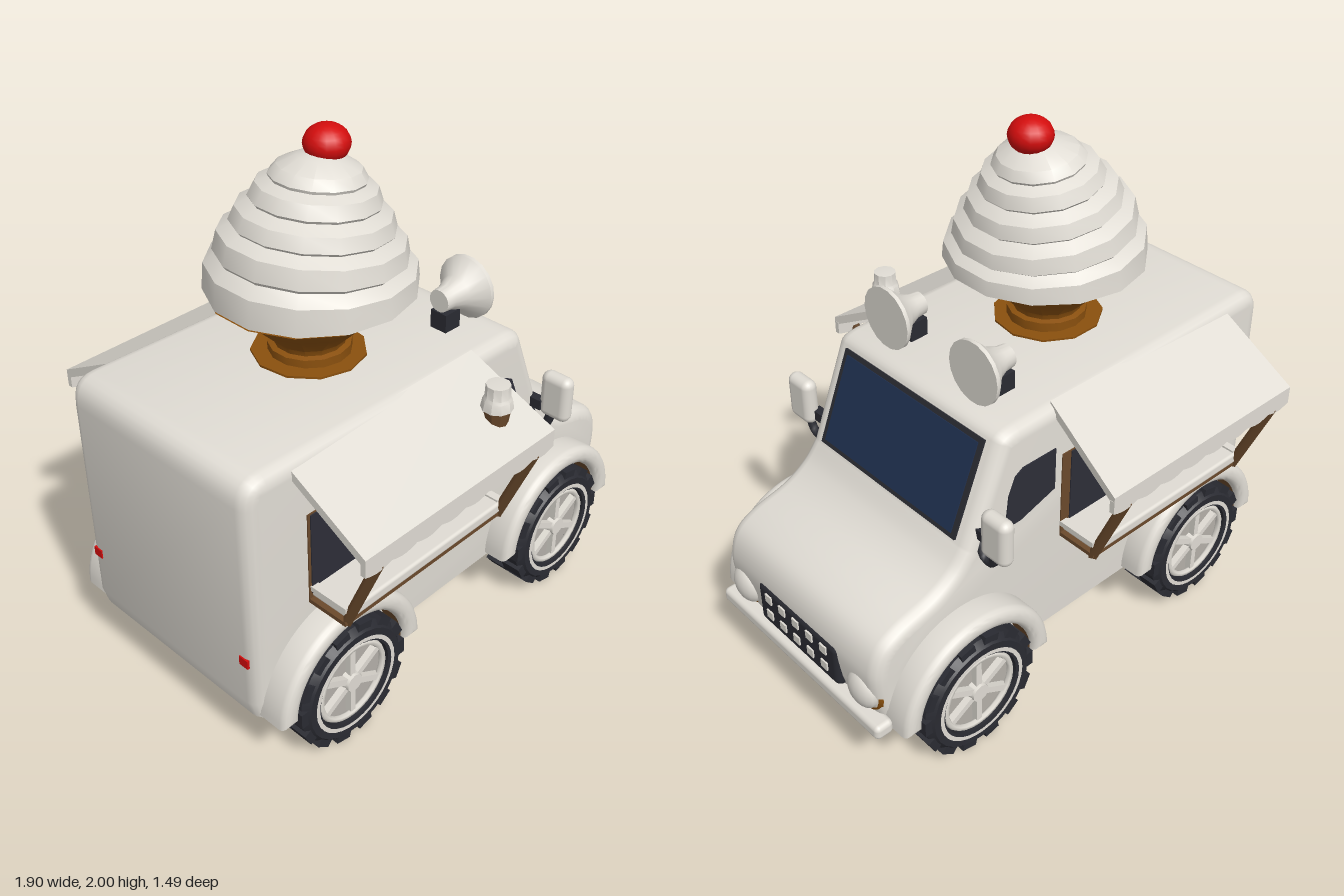
import * as THREE from 'three';
import { toCreasedNormals } from 'three/addons/utils/BufferGeometryUtils.js';
import { RoundedBoxGeometry } from 'three/addons/geometries/RoundedBoxGeometry.js';

const mat = (name, color, side = THREE.FrontSide) => {
  const m = new THREE.MeshStandardMaterial({ color, side });
  m.name = name;
  return m;
};

export function createModel() {
  const cream = mat('cream paint', 0xe0dcd4);
  const rimGrey = mat('rim grey', 0xb4b0a9);
  const rubber = mat('black rubber', 0x2a2b32);
  const under = mat('underside', 0x33322f);
  const sideGlass = mat('side glass', 0x2d2e38);
  const glass = mat('windshield glass', 0x1f3050);
  const waffle = mat('waffle brown', 0x8a500e);
  const trim = mat('wood trim', 0x6b4a2c, THREE.DoubleSide);
  const red = mat('cherry red', 0xd40d0d);

  const root = new THREE.Group();
  root.name = 'iceCreamTruck';
  const V = (a) => new THREE.Vector3(...a);
  const add = (name, geo, material, pos = [0, 0, 0], parent = root) => {
    const m = new THREE.Mesh(geo, material);
    m.name = name;
    m.position.set(...pos);
    parent.add(m);
    return m;
  };
  const box = (name, size, pos, material, parent) => add(name, new THREE.BoxGeometry(...size), material, pos, parent);
  const lathe = (pts, seg, crease = 0.6) =>
    toCreasedNormals(new THREE.LatheGeometry(pts.map((p) => new THREE.Vector2(...p)), seg), crease);
  const poly = (pts) => new THREE.Shape(pts.map((p) => new THREE.Vector2(...p)));
  // Extrusion whose bevel stays inside the outline, centred on z
  const slab = (shape, width, bevel, curveSegments = 12) => {
    const g = new THREE.ExtrudeGeometry(shape, {
      depth: width - 2 * bevel, bevelEnabled: bevel > 0, bevelThickness: bevel,
      bevelSize: bevel, bevelOffset: -bevel, bevelSegments: 4, curveSegments,
    });
    return g.translate(0, 0, bevel - width / 2);
  };
  const bar = (name, a, b, r, material) => {
    const p = V(a), d = V(b).sub(p);
    const m = add(name, new THREE.CylinderGeometry(r, r, d.length(), 4), material, p.clone().addScaledVector(d, 0.5).toArray());
    m.quaternion.setFromUnitVectors(new THREE.Vector3(0, 1, 0), d.normalize());
  };

  // Body: side profile with rounded edges and a flat floor
  const profile = new THREE.Shape();
  profile.moveTo(-0.93, 0.2);
  profile.lineTo(0.88, 0.2);
  profile.lineTo(0.91, 0.36);
  profile.splineThru([[0.92, 0.49], [0.885, 0.59], [0.8, 0.645], [0.66, 0.685], [0.57, 0.74], [0.51, 0.81]]
    .map((p) => new THREE.Vector2(...p)));
  profile.lineTo(0.365, 1.17);
  profile.quadraticCurveTo(0.35, 1.2, 0.28, 1.202);
  profile.lineTo(-0.86, 1.23);
  profile.quadraticCurveTo(-0.95, 1.23, -0.95, 1.13);
  profile.lineTo(-0.95, 0.32);
  const bodyGeo = slab(profile, 0.87, 0.05, 6);
  const bp = bodyGeo.attributes.position;
  for (let i = 0; i < bp.count; i++) bp.setY(i, Math.max(bp.getY(i), 0.25));
  add('body', toCreasedNormals(bodyGeo, 0.6), cream);
  box('underside', [1.78, 0.012, 0.83], [-0.02, 0.247, 0], under);

  // Windshield on the slope
  const shield = new THREE.Group();
  shield.name = 'windshield';
  shield.position.set(0.441, 0.992, 0);
  shield.rotation.z = Math.atan2(0.145, 0.36);
  root.add(shield);
  box('windshieldFrame', [0.01, 0.37, 0.73], [0, 0, 0], rubber, shield);
  box('windshieldGlass', [0.008, 0.335, 0.69], [0.005, 0, 0], glass, shield);

  // Nose: grille with studs, headlights, bumper
  add('grille', new RoundedBoxGeometry(0.06, 0.185, 0.47, 3, 0.028), rubber, [0.899, 0.4, 0]);
  for (let r = 0; r < 2; r++) for (let c = 0; c < 5; c++)
    box('grilleStud', [0.012, 0.035, 0.035], [0.929, 0.375 + r * 0.075, (c - 2) * 0.08], cream);
  add('frontBumper', new RoundedBoxGeometry(0.075, 0.06, 0.92, 3, 0.02), cream, [0.909, 0.275, 0]);

  const wheel = (x, s) => {
    const w = new THREE.Group();
    w.name = 'wheel';
    w.position.set(x, 0.25, s * 0.445);
    if (s < 0) w.rotation.y = Math.PI;
    root.add(w);
    add('tire', lathe([[0.165, -0.09], [0.215, -0.095], [0.238, -0.07], [0.238, 0.07], [0.215, 0.095],
      [0.165, 0.09], [0.165, -0.09]], 28).rotateX(Math.PI / 2), rubber, [0, 0, 0], w);
    for (let i = 0; i < 28; i++) {
      const a = (i / 28) * Math.PI * 2 - Math.PI / 2;
      const b = box('treadBlock', [0.03, 0.062, 0.085], [0.234 * Math.cos(a), 0.234 * Math.sin(a), i % 2 ? 0.045 : -0.045], rubber, w);
      b.rotation.z = a;
    }
    add('whitewall', new THREE.RingGeometry(0.174, 0.19, 32), cream, [0, 0, 0.0965], w);
    add('rimDisc', new THREE.CylinderGeometry(0.166, 0.166, 0.1, 28).rotateX(Math.PI / 2), rimGrey, [0, 0, 0.005], w);
    add('rimRing', new THREE.TorusGeometry(0.15, 0.012, 6, 28), cream, [0, 0, 0.075], w);
    for (let i = 0; i < 6; i++) {
      const a = (i * Math.PI) / 3 + Math.PI / 6;
      box('spoke', [0.13, 0.024, 0.03], [0.085 * Math.cos(a), 0.085 * Math.sin(a), 0.065], cream, w).rotation.z = a;
    }
    add('hub', new THREE.CylinderGeometry(0.035, 0.042, 0.04, 10).rotateX(Math.PI / 2), cream, [0, 0, 0.07], w);
  };

  // Fender arch
  const arch = new THREE.Shape();
  arch.absarc(0, 0, 0.33, 0, Math.PI, false);
  arch.absarc(0, 0, 0.258, Math.PI, 0, true);
  const fenderGeo = toCreasedNormals(slab(arch, 0.16, 0.03, 18), 0.6);
  const linerGeo = new THREE.CylinderGeometry(0.256, 0.256, 0.08, 24, 1, true, Math.PI / 2, Math.PI).rotateX(Math.PI / 2);

  for (const x of [-0.595, 0.55]) {
    add('axle', new THREE.CylinderGeometry(0.022, 0.022, 0.8, 10).rotateX(Math.PI / 2), rubber, [x, 0.24, 0]);
    for (const s of [1, -1]) {
      wheel(x, s);
      add('fender', fenderGeo, cream, [x, 0.265, s * 0.46]);
      add('fenderLiner', linerGeo, trim, [x, 0.265, s * 0.47]);
    }
  }

  // Scalloped awning edge
  const edge = [[0.155, 1.01], [-0.76, 1.01]];
  for (let i = 0; i <= 40; i++) edge.push([-0.76 + (0.915 * i) / 40, 0.96 - 0.012 * Math.abs(Math.sin((i * Math.PI) / 5))]);
  const valanceGeo = slab(poly(edge), 0.02, 0);
  const cabWindow = poly([[0.12, 1.04], [0.27, 1.04], [0.305, 1.02], [0.335, 0.95], [0.345, 0.86], [0.325, 0.82], [0.28, 0.82], [0.12, 0.87]]);

  for (const s of [1, -1]) {
    // Serving hatch
    box('hatchFrame', [0.79, 0.35, 0.008], [-0.31, 0.82, s * 0.435], trim);
    box('hatchWindow', [0.74, 0.32, 0.008], [-0.325, 0.83, s * 0.439], sideGlass);
    add('counter', new RoundedBoxGeometry(0.76, 0.045, 0.18, 2, 0.012), cream, [-0.31, 0.67, s * 0.515]);
    box('counterTrim', [0.79, 0.016, 0.17], [-0.31, 0.64, s * 0.515], trim);
    for (const x of [-0.685, 0.072]) {
      bar('awningStrut', [x, 0.965, s * 0.725], [x, 0.63, s * 0.585], 0.02, trim);
      box('counterBracket', [0.03, 0.02, 0.17], [x, 0.69, s * 0.51], cream);
    }
    // Sloped awning panel, slightly wider at its outer edge
    const panel = new THREE.BoxGeometry(1, 0.035, 1);
    const pp = panel.attributes.position;
    for (let i = 0; i < pp.count; i++) {
      const u = 0.5 + s * pp.getZ(i);
      pp.setXYZ(i, pp.getX(i) < 0 ? -0.76 : 0.115 + 0.04 * u, 1.195 - 0.185 * u + pp.getY(i), s * (0.4 + 0.34 * u));
    }
    panel.computeVertexNormals();
    add('awning', panel, cream);
    add('awningValance', valanceGeo, cream, [0, 0, s * 0.73]);

    // Cab side: window and mirror
    add('cabWindow', slab(cabWindow, 0.008, 0), sideGlass, [0, 0, s * 0.436]);
    add('mirror', new RoundedBoxGeometry(0.062, 0.185, 0.125, 3, 0.03), cream, [0.467, 0.91, s * 0.527]);
    const armCurve = new THREE.CatmullRomCurve3([[0.45, 0.82, 0.42], [0.455, 0.77, 0.45], [0.455, 0.77, 0.49], [0.46, 0.85, 0.52]]
      .map(([x, y, z]) => V([x, y, s * z])));
    add('mirrorArm', new THREE.TubeGeometry(armCurve, 10, 0.018, 6), rubber);
    box('mirrorHinge', [0.035, 0.04, 0.06], [0.45, 0.86, s * 0.45], rubber);

    // Lights
    add('headlight', new THREE.SphereGeometry(0.075, 16, 12).scale(0.6, 1, 1), cream, [0.9, 0.385, s * 0.34]);
    add('headlightRing', new THREE.TorusGeometry(0.07, 0.014, 6, 18).rotateY(Math.PI / 2), waffle, [0.888, 0.378, s * 0.345]);
    box('tailLight', [0.03, 0.035, 0.04], [-0.94, 0.505, s * 0.385], red);

    // Roof loudspeakers
    add('speakerHorn', lathe([[0, 0], [0.042, 0], [0.046, 0.04], [0.065, 0.085], [0.118, 0.14], [0.118, 0.155], [0, 0.155]], 18)
      .rotateZ(-Math.PI / 2), cream, [0.143, 1.32, s * 0.225]);
    box('speakerMount', [0.075, 0.08, 0.07], [0.18, 1.235, s * 0.225], rubber);
  }

  // Small cup standing on one awning
  add('awningCupCone', lathe([[0, 1.06], [0.038, 1.06], [0.05, 1.145], [0, 1.145]], 10), trim, [0, 0, 0.61]);
  add('awningCupTop', lathe([[0, 1.135], [0.056, 1.135], [0.05, 1.17], [0.044, 1.18], [0.042, 1.225], [0, 1.228]], 10), cream, [0, 0, 0.61]);

  // Giant cone on the roof
  add('coneStain', new THREE.CylinderGeometry(0.2, 0.2, 0.008, 11), waffle, [-0.265, 1.219, 0]).rotation.z = -0.025;
  add('cone', lathe([[0.145, 1.2], [0.145, 1.255], [0.125, 1.26], [0.13, 1.28], [0.21, 1.36], [0.265, 1.42],
    [0.282, 1.45], [0.345, 1.462], [0, 1.462]], 14), waffle, [-0.26, 0, 0]);

  // Whipped swirl: stepped tiers, tilted and leaning toward the tip
  const swirl = new THREE.LatheGeometry([[0.335, 1.465], [0.362, 1.468], [0.355, 1.545], [0.315, 1.575], [0.325, 1.585], [0.312, 1.645],
    [0.265, 1.672], [0.275, 1.682], [0.258, 1.73], [0.212, 1.755], [0.22, 1.765], [0.2, 1.81], [0.158, 1.828],
    [0.163, 1.838], [0.14, 1.87], [0.08, 1.9], [0, 1.925]].map((p) => new THREE.Vector2(...p)), 14);
  const sp = swirl.attributes.position;
  for (let i = 0; i < sp.count; i++) {
    const x = sp.getX(i), y = sp.getY(i), t = (y - 1.465) / 0.46;
    sp.setX(i, x + 0.06 * t * t);
    sp.setY(i, y - 0.13 * x * Math.min(1, t * 3));
  }
  add('swirl', toCreasedNormals(swirl, 0.5), cream, [-0.245, 0, 0]);
  add('cherry', new THREE.SphereGeometry(0.075, 16, 12).scale(1.05, 0.85, 1.05), red, [-0.165, 1.936, 0]);

  return root;
}
